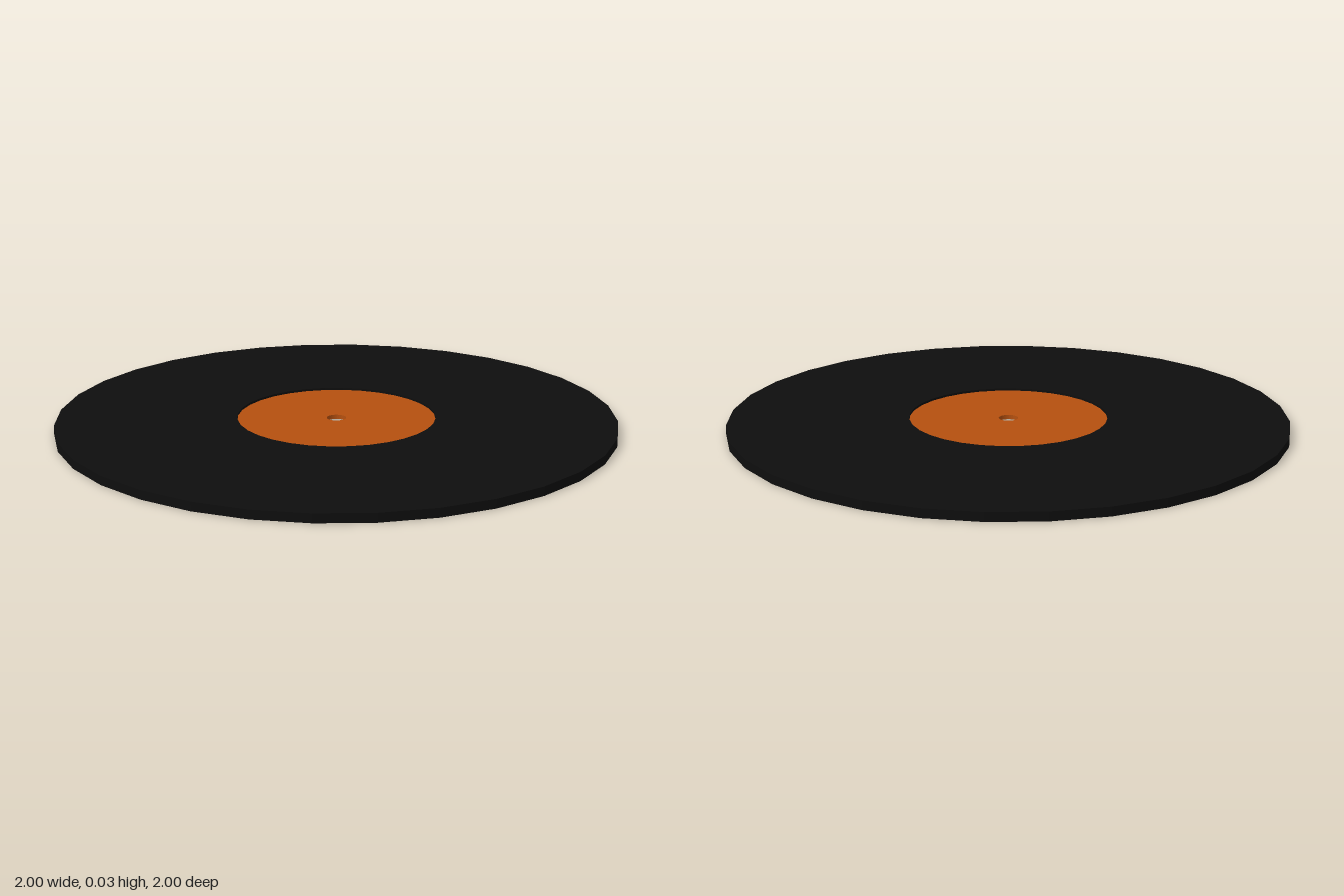
import * as THREE from 'three';

// Flat ring with a rectangular cross-section, turned around the y axis
function ring(name, inner, outer, bottom, top, color) {
  const profile = [
    [inner, bottom], [outer, bottom], [outer, top], [inner, top], [inner, bottom],
  ].map(([r, y]) => new THREE.Vector2(r, y));
  const material = new THREE.MeshStandardMaterial({ color, flatShading: true });
  const mesh = new THREE.Mesh(new THREE.LatheGeometry(profile, 32), material);
  mesh.name = name;
  return mesh;
}

export function createModel() {
  const record = new THREE.Group();
  record.name = 'record';
  // Black playing surface
  record.add(ring('disc', 0.355, 1, 0, 0.032, 0x0e0e0e));
  // Thinner centre label, slightly recessed on both sides, with the spindle hole
  record.add(ring('label', 0.035, 0.357, 0.008, 0.024, 0xb5500f));
  return record;
}
